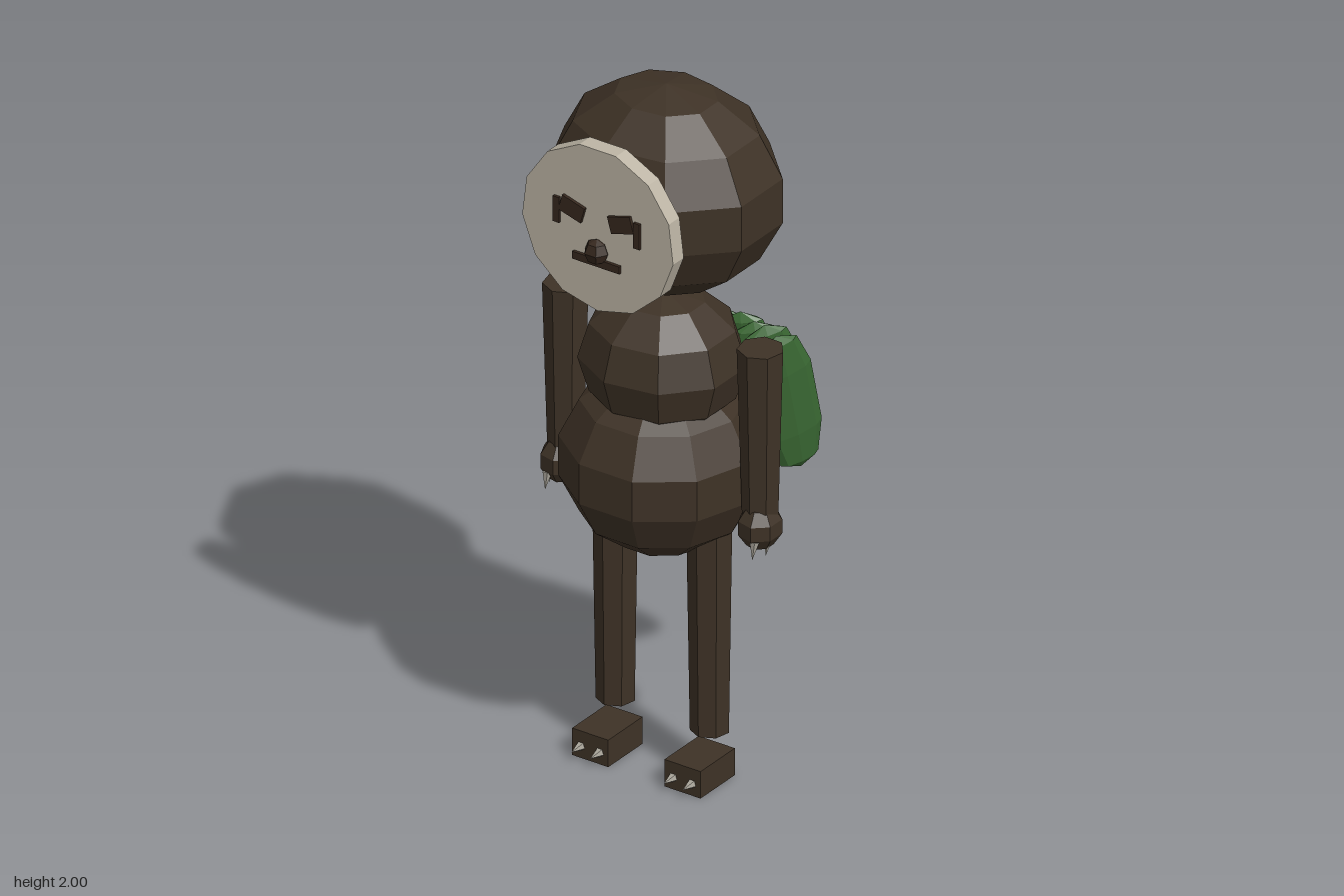
import * as THREE from 'three';

const flat = (name, color) => {
  const m = new THREE.MeshStandardMaterial({ color, flatShading: true });
  m.name = name;
  return m;
};

export function createModel() {
  const fur = flat('dark brown fur', 0x3e3226);
  const mask = flat('pale face', 0xbdb5a5);
  const feature = flat('dark facial features', 0x35271d);
  const claw = flat('grey claw', 0xa8a398);
  const leaf = flat('leaf green', 0x3b6a34);

  const root = new THREE.Group();
  root.name = 'standingAnimal';

  const add = (name, geo, mat, pos, parent = root) => {
    const mesh = new THREE.Mesh(geo, mat);
    mesh.name = name;
    mesh.position.set(...pos);
    parent.add(mesh);
    return mesh;
  };
  const ball = (rx, ry, rz, w = 9, h = 7) => new THREE.SphereGeometry(1, w, h).scale(rx, ry, rz);

  // Head and torso
  add('head', ball(0.333, 0.295, 0.28), fur, [0, 1.705, -0.005]);
  add('chest', ball(0.23, 0.2, 0.215, 9, 6), fur, [0, 1.2, 0.01]);
  add('belly', ball(0.28, 0.265, 0.28, 10, 7), fur, [0, 0.905, 0.01]);

  // Face disc with its features
  add('faceDisc', new THREE.CylinderGeometry(0.242, 0.242, 0.048, 13).rotateX(Math.PI / 2), mask, [0, 1.705, 0.281]);
  add('nose', ball(0.036, 0.036, 0.034, 6, 4), feature, [0, 1.642, 0.31]);
  add('mouth', new THREE.BoxGeometry(0.15, 0.022, 0.012), feature, [0, 1.61, 0.308]);

  for (const s of [-1, 1]) {
    const side = s > 0 ? 'left' : 'right';

    // Eye: slanted patch with an outer streak, and a lump behind the disc
    const eye = add(side + 'EyePatch', new THREE.BoxGeometry(0.074, 0.048, 0.012), feature, [s * 0.078, 1.745, 0.308]);
    eye.rotation.z = s * 0.28;
    add(side + 'EyeStreak', new THREE.BoxGeometry(0.02, 0.075, 0.01), feature, [s * 0.128, 1.728, 0.308]);
    add(side + 'CheekLump', ball(0.05, 0.05, 0.025, 7, 5), fur, [s * 0.148, 1.73, 0.237]);

    // Arm, hand and finger claws
    add(side + 'Arm', new THREE.CylinderGeometry(0.063, 0.049, 0.5, 7), fur, [s * 0.31, 1.067, 0.008]);
    add(side + 'Hand', ball(0.06, 0.067, 0.066, 7, 5), fur, [s * 0.315, 0.798, 0.018]);
    [[0.33, 0.07], [0.345, 0.03], [0.33, -0.005]].forEach(([x, z], i) => {
      const c = add(side + 'FingerClaw' + (i + 1), new THREE.ConeGeometry(0.013, 0.05, 5).rotateX(Math.PI), claw, [s * x, 0.748, z]);
      c.rotation.x = -0.2;
    });

    // Leg, foot and toe claws
    add(side + 'Leg', new THREE.CylinderGeometry(0.062, 0.053, 0.6, 7), fur, [s * 0.15, 0.435, 0.01]);
    add(side + 'Foot', new THREE.BoxGeometry(0.115, 0.08, 0.155), fur, [s * 0.147, 0.04, 0.053]);
    for (const t of [-1, 1]) {
      add(side + 'ToeClaw', new THREE.ConeGeometry(0.014, 0.045, 5).rotateX(Math.PI / 2), claw, [s * 0.147 + t * 0.03, 0.035, 0.15]);
    }
  }

  // Fan of leaves on the back, turning outward toward both ends
  const fan = new THREE.Group();
  fan.name = 'leafFan';
  fan.position.set(0, 1.025, -0.242);
  fan.rotation.x = 0.25;
  root.add(fan);
  const profile = [[0, -1], [0.68, -0.88], [1, -0.45], [1, 0.45], [0.68, 0.88], [0, 1]]
    .map(([x, y]) => new THREE.Vector2(x, y));
  const leafGeo = new THREE.LatheGeometry(profile, 8).scale(0.082, 0.225, 0.024);
  const count = 11;
  for (let i = 0; i < count; i++) {
    const t = (i / (count - 1)) * 2 - 1;
    const l = add('leaf' + (i + 1), leafGeo, leaf, [t * 0.222, (i % 2) * 0.012 - 0.006, -0.035 * (1 - t * t)], fan);
    l.rotation.y = t * 1.1;
  }

  return root;
}
